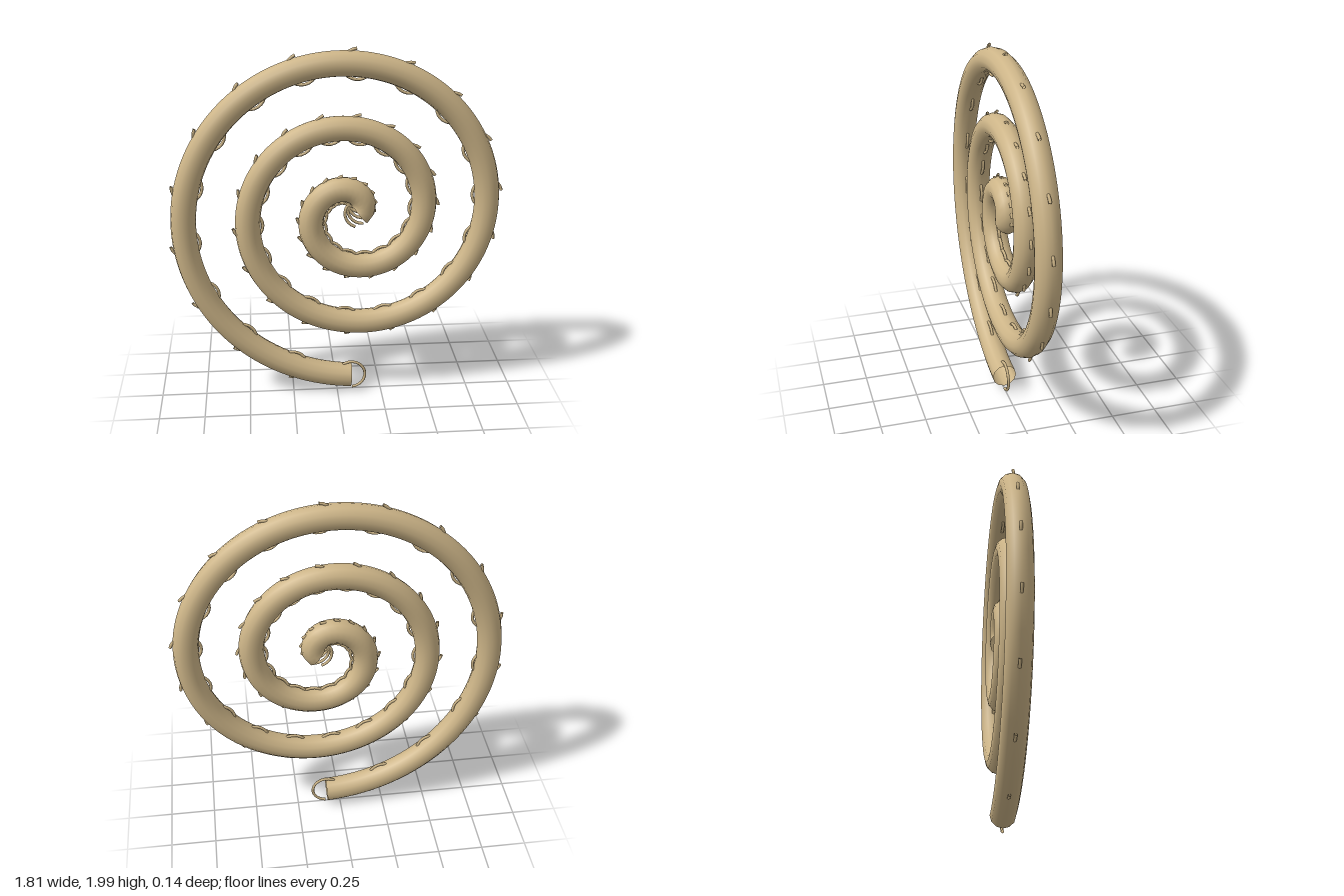
import * as THREE from 'three';

const TURNS = 2.75, PITCH = 0.345, R_OUT = 0.992;
const CX = 0.08, CY = 1.088, TUBE = 0.068, RINGS = 50;

// angle and radius at u = 0 (outer end, at the bottom) .. 1 (centre)
const angleAt = (u) => -Math.PI / 2 - u * TURNS * Math.PI * 2;
const radiusAt = (u) => R_OUT - u * TURNS * PITCH;

class Spiral extends THREE.Curve {
  getPoint(u, target = new THREE.Vector3()) {
    const a = angleAt(u), r = radiusAt(u);
    return target.set(CX + r * Math.cos(a), CY + r * Math.sin(a), 0);
  }
}

export function createModel() {
  const group = new THREE.Group();
  group.name = 'spiralCoil';
  const material = new THREE.MeshStandardMaterial({ color: 0xcdb588, side: THREE.DoubleSide });

  // open-ended coiled tube
  const path = new Spiral();
  path.arcLengthDivisions = 1000;
  const coil = new THREE.Mesh(new THREE.TubeGeometry(path, 320, TUBE, 12, false), material);
  coil.name = 'coilTube';
  group.add(coil);

  // C-shaped hooks threaded through the tube at equal angles
  const start = 0.09, end = 4.4;
  const hookGeometry = new THREE.TorusGeometry(0.081, 0.0085, 6, 16, end - start);
  hookGeometry.rotateZ(start);
  const hooks = new THREE.Group();
  hooks.name = 'hooks';
  for (let i = 0; i < RINGS; i++) {
    const u = i / (RINGS - 1);
    const hook = new THREE.Mesh(hookGeometry, material);
    hook.name = 'hook' + (i + 1);
    path.getPoint(u, hook.position);
    hook.rotation.z = angleAt(u);
    hooks.add(hook);
  }
  group.add(hooks);
  return group;
}
